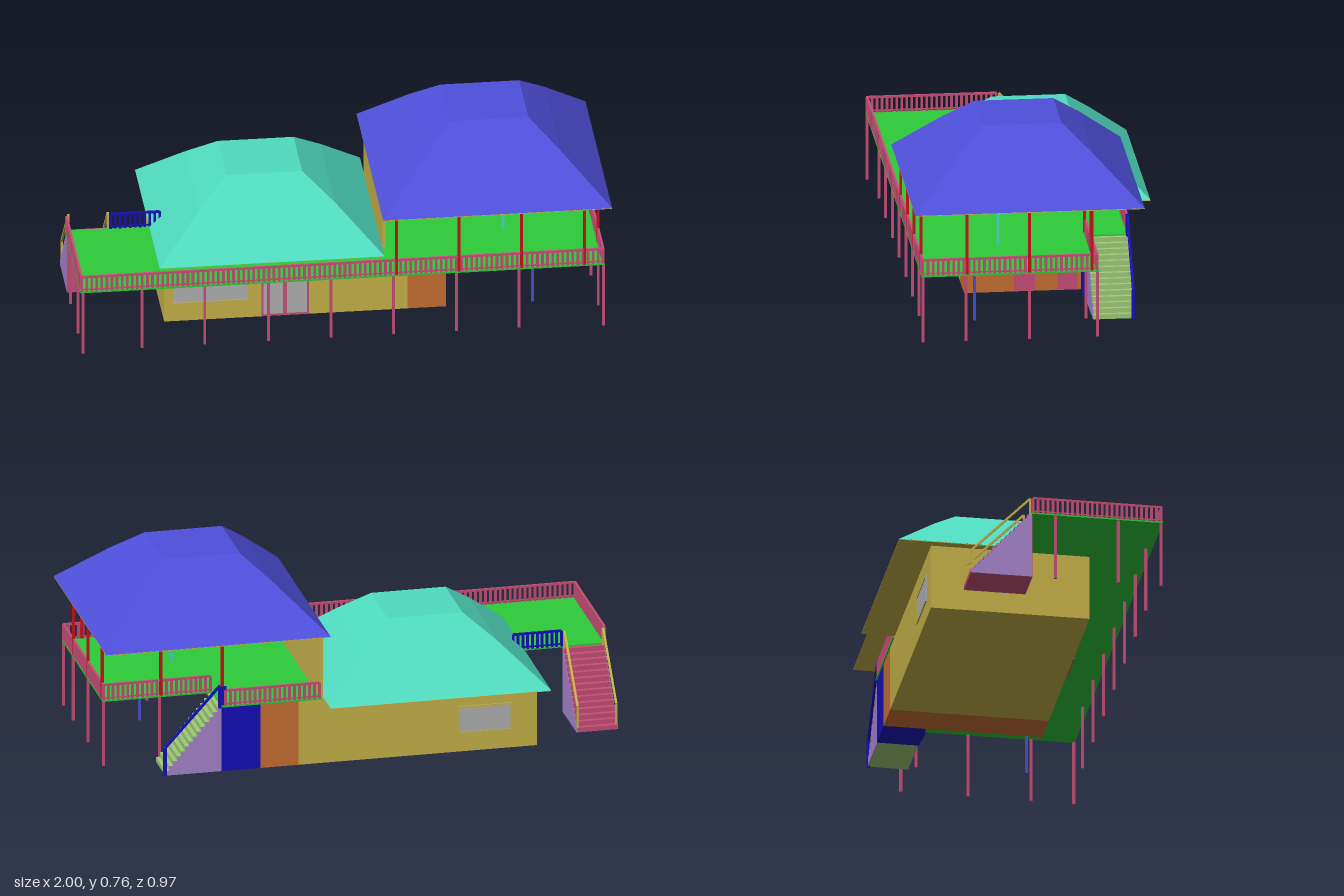
import * as THREE from 'three';

const C = {
  wall: 0xc8b44a, orange: 0xc96f33, navy: 0x1510bb, pink: 0xc94f78, purple: 0xa985cf, green: 0x2ecc38,
  stepGreen: 0x9fcb78, red: 0xcc1118, teal: 0x50dcc0, blue: 0x4f50dc, grey: 0xb2b2b2, post: 0x4c4fd0
};
const mats = {};
const mat = c => (mats[c] ??= new THREE.MeshStandardMaterial({ color: c, flatShading: true, side: THREE.DoubleSide }));

// Box given by its min and max on every axis
function box(parent, name, color, x0, x1, y0, y1, z0, z1) {
  const m = new THREE.Mesh(new THREE.BoxGeometry(x1 - x0, y1 - y0, z1 - z0), mat(color));
  m.position.set((x0 + x1) / 2, (y0 + y1) / 2, (z0 + z1) / 2);
  m.name = name;
  parent.add(m);
  return m;
}

function group(parent, name) {
  const g = new THREE.Group();
  g.name = name;
  parent.add(g);
  return g;
}

// Slim square bar between two points
function bar(parent, name, color, a, b, t) {
  const p = new THREE.Vector3(...a), q = new THREE.Vector3(...b);
  const m = new THREE.Mesh(new THREE.BoxGeometry(t, t, p.distanceTo(q)), mat(color));
  m.position.copy(p).add(q).multiplyScalar(0.5);
  m.lookAt(q);
  m.name = name;
  parent.add(m);
}

// Hipped roof from rectangular rings [halfX, halfZ, y], closed on top, with a flat soffit
function roof(parent, name, color, cx, cz, rings) {
  const pos = [];
  const corners = rings.map(([hx, hz, y]) =>
    [[-hx, hz], [hx, hz], [hx, -hz], [-hx, -hz]].map(([x, z]) => [cx + x, y, cz + z]));
  const quad = (a, b, c, d) => pos.push(...a, ...b, ...c, ...a, ...c, ...d);
  for (let r = 0; r < corners.length - 1; r++)
    for (let i = 0; i < 4; i++) {
      const j = (i + 1) % 4;
      quad(corners[r][i], corners[r][j], corners[r + 1][j], corners[r + 1][i]);
    }
  quad(...corners.at(-1));
  const geo = new THREE.BufferGeometry();
  geo.setAttribute('position', new THREE.Float32BufferAttribute(pos, 3));
  geo.computeVertexNormals();
  const g = group(parent, name);
  const shell = new THREE.Mesh(geo, mat(color));
  shell.name = name + 'Shell';
  g.add(shell);
  const [hx, hz, y] = rings[0];
  box(g, name + 'Soffit', C.wall, cx - hx, cx + hx, y - 0.003, y - 0.0005, cz - hz, cz + hz);
}

// Railing with balusters between two points on the deck
function railing(parent, color, x0, z0, x1, z1) {
  const g = group(parent, 'railing');
  const len = Math.hypot(x1 - x0, z1 - z0), n = Math.round(len / 0.019);
  bar(g, 'topRail', color, [x0, 0.321, z0], [x1, 0.321, z1], 0.008);
  bar(g, 'bottomRail', color, [x0, 0.268, z0], [x1, 0.268, z1], 0.005);
  const balusters = new THREE.InstancedMesh(new THREE.BoxGeometry(0.009, 0.06, 0.009), mat(color), n + 1);
  for (let i = 0; i <= n; i++) {
    const t = i / n;
    const m = new THREE.Mesh(balusters.geometry, mat(color));
    m.position.set(x0 + (x1 - x0) * t, 0.29, z0 + (z1 - z0) * t);
    m.name = 'baluster';
    g.add(m);
  }
}

// Solid staircase going down along +x, with stepped side panels
function stairs(parent, name, color, run, rise, width, n) {
  const g = group(parent, name);
  const dx = run / n, dy = rise / n, w = width / 2;
  const s = new THREE.Shape().moveTo(0, 0).lineTo(0, rise);
  for (let i = 0; i < n; i++) {
    const top = rise - i * dy;
    box(g, 'step', color, i * dx, (i + 1) * dx, 0, top, -w + 0.003, w - 0.003);
    s.lineTo((i + 1) * dx, top).lineTo((i + 1) * dx, top - dy);
  }
  const geo = new THREE.ExtrudeGeometry(s, { depth: 0.003, bevelEnabled: false });
  for (const z of [-w, w - 0.003]) {
    const side = new THREE.Mesh(geo, mat(C.purple));
    side.position.z = z;
    side.name = 'stairSide';
    g.add(side);
  }
  return g;
}

// Window or door leaf on a wall facing +z or -z
function pane(parent, name, frame, x0, x1, y0, y1, z, dir) {
  const g = group(parent, name), t = 0.007;
  const slab = (n, c, a, b, d, e, depth) =>
    box(g, n, c, a, b, d, e, Math.min(z, z + dir * depth), Math.max(z, z + dir * depth));
  slab('glass', C.grey, x0, x1, y0, y1, 0.002);
  slab('frameLeft', frame, x0, x0 + t, y0, y1, 0.005);
  slab('frameRight', frame, x1 - t, x1, y0, y1, 0.005);
  slab('frameTop', frame, x0, x1, y1 - t, y1, 0.005);
  slab('frameBottom', frame, x0, x1, y0, y0 + t, 0.005);
}

export function createModel() {
  const model = new THREE.Group();
  model.name = 'house';

  // Ground floor rooms
  const rooms = group(model, 'groundFloor');
  box(rooms, 'mainRoom', C.wall, -0.655, 0.26, 0, 0.255, -0.36, 0.24);
  box(rooms, 'sideRoom', C.orange, 0.26, 0.405, 0, 0.255, -0.36, 0.24);
  box(rooms, 'storeRoom', C.navy, 0.405, 0.555, 0, 0.255, -0.36, -0.2);
  box(rooms, 'storeDoor', C.navy, 0.44, 0.51, 0, 0.185, -0.2, -0.196);
  for (const [z0, z1, knob] of [[-0.025, 0.052, 0.035], [-0.185, -0.11, -0.122]]) {
    box(rooms, 'sideDoor', C.pink, 0.405, 0.409, 0.003, 0.183, z0, z1);
    box(rooms, 'doorHandle', C.grey, 0.409, 0.417, 0.09, 0.096, knob - 0.007, knob + 0.007);
  }
  pane(rooms, 'frontWindow', C.wall, -0.63, -0.335, 0.07, 0.18, 0.24, 1);
  pane(rooms, 'frontDoorLeft', C.pink, -0.29, -0.201, 0.003, 0.185, 0.24, 1);
  pane(rooms, 'frontDoorRight', C.pink, -0.201, -0.112, 0.003, 0.185, 0.24, 1);
  pane(rooms, 'backWindow', C.wall, -0.56, -0.35, 0.07, 0.18, -0.36, -1);

  // Deck around the house and the landing at the back
  const deck = group(model, 'deck');
  const slab = (x0, x1, z0, z1) => box(deck, 'deckSlab', C.green, x0, x1, 0.255, 0.261, z0, z1);
  slab(-0.995, -0.64, -0.035, 0.46);
  slab(-0.64, 0.17, 0.22, 0.46);
  slab(0.17, 0.975, -0.205, 0.46);
  slab(0.17, 0.555, -0.365, -0.205);

  // Railings
  const rails = group(model, 'railings');
  railing(rails, C.pink, -0.99, 0.455, 0.97, 0.455);
  railing(rails, C.pink, -0.99, -0.03, -0.99, 0.455);
  railing(rails, C.pink, 0.97, -0.2, 0.97, 0.455);
  railing(rails, C.pink, 0.56, -0.2, 0.97, -0.2);
  railing(rails, C.pink, 0.18, -0.36, 0.54, -0.36);
  railing(rails, C.navy, -0.825, -0.032, -0.64, -0.032);

  // Posts under the deck and under the high roof
  const posts = group(model, 'posts');
  const post = (name, c, x, z, y0, y1) => box(posts, name, c, x - 0.005, x + 0.005, y0, y1, z - 0.005, z + 0.005);
  for (const x of [-0.76, -0.525, -0.285, -0.05, 0.185, 0.42, 0.655]) post('deckPost', C.pink, x, 0.435, 0, 0.255);
  for (const z of [0.455, 0.293, 0.055, -0.2]) post('deckPost', C.pink, 0.97, z, 0, 0.255);
  for (const z of [0.455, 0.293, 0.055]) post('deckPost', C.pink, -0.985, z, 0, 0.255);
  post('deckPost', C.pink, 0.75, -0.18, 0, 0.255);
  post('bluePost', C.post, 0.73, 0.235, 0, 0.255);
  for (const x of [0.193, 0.428, 0.663, 0.9]) post('roofPost', C.red, x, 0.455, 0.26, 0.503);
  for (const z of [0.29, 0.055, -0.18]) post('roofPost', C.red, 0.97, z, 0.26, 0.503);
  for (const x of [0.515, 0.75]) post('roofPost', C.red, x, -0.2, 0.26, 0.503);
  post('tealPost', C.teal, 0.63, 0.137, 0.26, 0.503);

  // Upper wall and the two roofs
  box(model, 'upperWall', C.wall, 0.165, 0.178, 0.255, 0.503, -0.36, 0.24);
  roof(model, 'highRoof', C.blue, 0.57, 0.055, [[0.43, 0.43, 0.506], [0.255, 0.255, 0.67], [0.148, 0.148, 0.76]]);
  roof(model, 'lowRoof', C.teal, -0.257, -0.0875,
    [[0.4225, 0.3975, 0.262], [0.255, 0.235, 0.415], [0.1425, 0.1375, 0.503]]);

  // Right staircase with its blue handrail
  const right = stairs(model, 'rightStairs', C.stepGreen, 0.215, 0.255, 0.155, 14);
  right.position.set(0.555, 0, -0.282);
  bar(right, 'handrail', C.navy, [0.005, 0.34, -0.074], [0.215, 0.11, -0.074], 0.009);
  bar(right, 'bottomPost', C.navy, [0.215, 0, -0.074], [0.215, 0.108, -0.074], 0.012);
  box(right, 'topPost', C.navy, -0.02, 0.012, 0.25, 0.335, -0.078, -0.07);

  // Left staircase with a pair of handrails
  const left = stairs(model, 'leftStairs', C.pink, 0.23, 0.255, 0.16, 14);
  left.position.set(-0.908, 0, -0.035);
  left.rotation.y = Math.PI / 2;
  box(left, 'backPanel', C.pink, -0.003, 0, 0, 0.254, -0.08, 0.08);
  for (const z of [-0.074, 0.074]) {
    bar(left, 'handrail', C.wall, [0.005, 0.322, z], [0.222, 0.1, z], 0.008);
    bar(left, 'bottomPost', C.wall, [0.222, 0, z], [0.222, 0.1, z], 0.008);
    bar(left, 'topPost', C.wall, [0.005, 0.25, z], [0.005, 0.322, z], 0.008);
  }
  return model;
}
